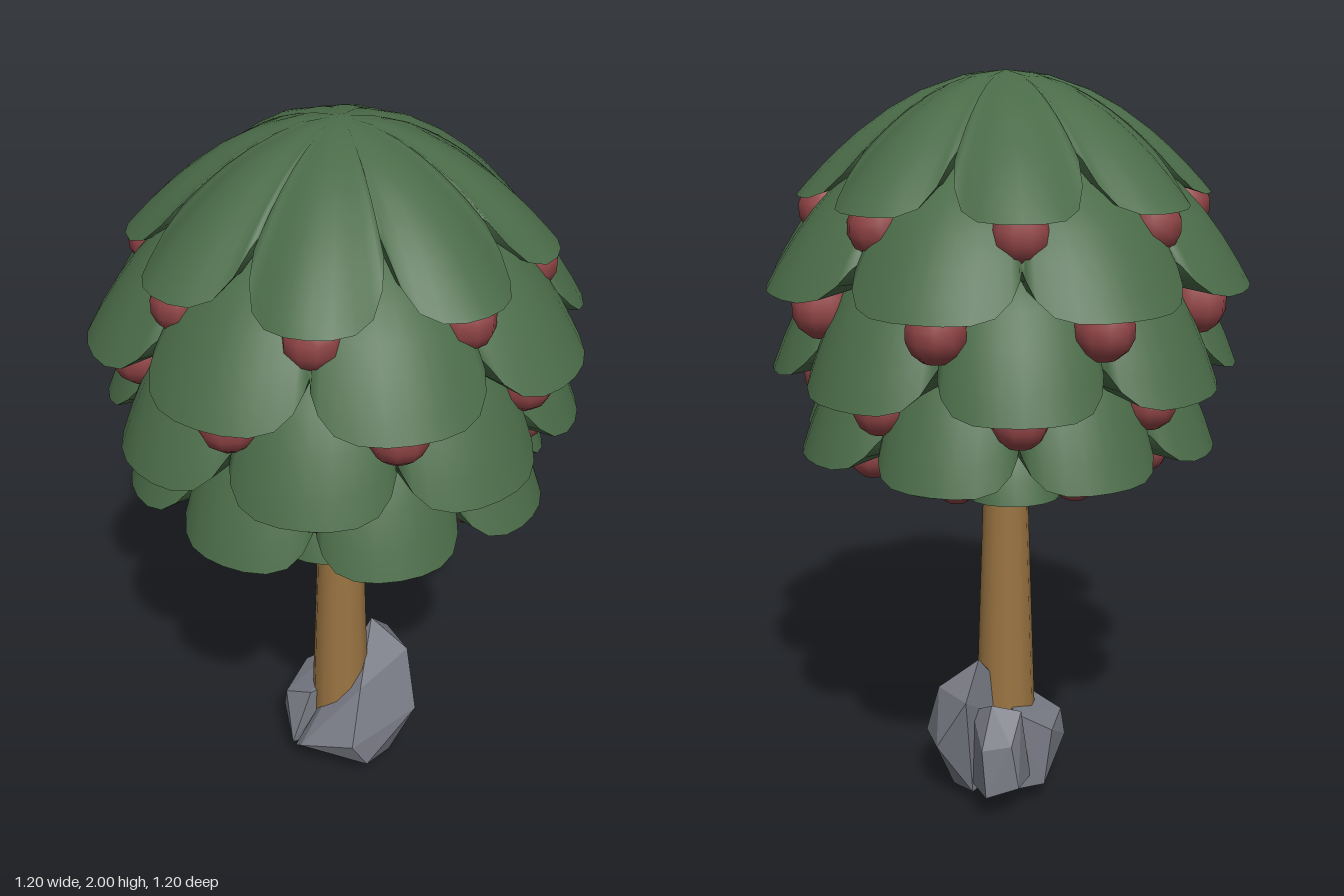
import * as THREE from 'three';
import { ConvexGeometry } from 'three/addons/geometries/ConvexGeometry.js';

const PETALS = 8;
const STEP = (Math.PI * 2) / PETALS;
const material = (color, flatShading = false) =>
  new THREE.MeshStandardMaterial({ color, flatShading, roughness: 0.9 });

// Scalloped rim directions: angle plus distance from the petal's midline (0 = tip, 1 = notch)
const HALF = [0, 0.25, 0.5, 0.72, 0.88, 0.97, 1];
const RIM = [];
for (let p = 0; p < PETALS; p++) {
  for (let k = -HALF.length + 1; k < HALF.length - 1; k++) {
    const a = HALF[Math.abs(k)];
    RIM.push({ a, angle: (p + (Math.sign(k) * a) / 2) * STEP });
  }
}

// Closed surface of rings running along the rim directions; t is the share of the rim radius
function ringSurface(rows, radiusAt, heightAt, faceDown) {
  const position = [], index = [], n = RIM.length;
  rows.forEach((t) => RIM.forEach(({ a, angle }) => {
    const r = radiusAt(a) * t;
    position.push(Math.sin(angle) * r, heightAt(a, t), Math.cos(angle) * r);
  }));
  for (let i = 0; i < rows.length - 1; i++) {
    for (let j = 0; j < n; j++) {
      const k = (j + 1) % n;
      const a = i * n + j, b = a + n, c = (i + 1) * n + k, d = i * n + k;
      if (faceDown) index.push(a, c, b, a, d, c);
      else index.push(a, b, c, a, c, d);
    }
  }
  const geometry = new THREE.BufferGeometry();
  geometry.setAttribute('position', new THREE.Float32BufferAttribute(position, 3));
  geometry.setIndex(index);
  geometry.computeVertexNormals();
  return geometry;
}

// One leafy tier: domed top with rounded petals, and a shallow underside
function leafTier({ radius, base, height, power, notch, lift, under, turn }, leaf) {
  const tier = new THREE.Group();
  const radiusAt = (a) => radius * (notch + (1 - notch) * Math.sqrt(1 - a ** 2.2));
  const edge = (a) => lift * a ** 6;
  const topAt = (a, t) => base + edge(a) + (height - edge(a)) * (1 - t ** power);
  const underAt = (a, t) => base + (t === 1 ? edge(a) : under);

  const top = new THREE.Mesh(
    ringSurface([0.001, 0.2, 0.4, 0.55, 0.7, 0.8, 0.88, 0.95, 1], radiusAt, topAt, false), leaf);
  top.name = 'leafTop';
  const bottom = new THREE.Mesh(ringSurface([0.001, 0.6, 1], radiusAt, underAt, true), leaf);
  bottom.name = 'leafUnderside';
  tier.add(top, bottom);
  tier.rotation.y = turn * STEP;
  return tier;
}

export function createModel() {
  const model = new THREE.Group();
  const leaf = material(0x4a6b48);
  const red = material(0x8f4345);
  const bark = material(0x9a7442);
  const stone = material(0x7a7c86, true);

  // Foliage tiers from top to bottom, every other one turned by half a petal
  const tiers = [
    { radius: 0.52, base: 1.705, height: 0.295, power: 2, notch: 0.63, lift: 0.14, under: 0.07, turn: 0 },
    { radius: 0.62, base: 1.5, height: 0.37, power: 3, notch: 0.8, lift: 0.1, under: 0.04, turn: 0.5 },
    { radius: 0.6, base: 1.27, height: 0.4, power: 4, notch: 0.8, lift: 0.1, under: 0.04, turn: 0 },
    { radius: 0.55, base: 1.08, height: 0.4, power: 4, notch: 0.79, lift: 0.09, under: 0.03, turn: 0.5 },
    { radius: 0.37, base: 1.0, height: 0.2, power: 6, notch: 0.76, lift: 0, under: -0.035, turn: 0 },
  ];
  const foliage = new THREE.Group();
  foliage.name = 'foliage';
  tiers.forEach((spec, i) => {
    const tier = leafTier(spec, leaf);
    tier.name = `leafTier${i + 1}`;
    foliage.add(tier);
  });
  model.add(foliage);

  // Fruit tucked under each petal tip
  const fruits = new THREE.Group();
  fruits.name = 'fruits';
  const rows = [
    { r: 0.45, y: 1.67, size: 0.07, turn: 0 },
    { r: 0.495, y: 1.455, size: 0.074, turn: 0.5 },
    { r: 0.455, y: 1.245, size: 0.07, turn: 0 },
    { r: 0.375, y: 1.07, size: 0.063, turn: 0.5 },
  ];
  for (const { r, y, size, turn } of rows) {
    const geometry = new THREE.SphereGeometry(size, 10, 7);
    for (let i = 0; i < PETALS; i++) {
      const fruit = new THREE.Mesh(geometry, red);
      const angle = (i + turn) * STEP;
      fruit.position.set(Math.sin(angle) * r, y, Math.cos(angle) * r);
      fruit.rotation.y = angle;
      fruit.name = 'fruit';
      fruits.add(fruit);
    }
  }
  model.add(fruits);

  // Tapered trunk
  const trunk = new THREE.Mesh(new THREE.CylinderGeometry(0.056, 0.085, 0.86, 12), bark);
  trunk.position.y = 0.61;
  trunk.name = 'trunk';
  model.add(trunk);

  // Faceted rocks clustered around the foot
  const rocks = {
    largeRock: [
      [0.08, 0.45, -0.09], [0.19, 0.36, -0.07], [0.12, 0.36, -0.17], [0.225, 0.19, 0],
      [0.2, 0.2, -0.12], [0.15, 0.01, 0], [0.1, 0, 0], [0.02, 0.02, 0.03], [0.1, 0.04, -0.1],
      [0.07, 0.33, 0.09], [0.06, 0.19, 0.19], [-0.12, 0.1, 0.11], [-0.1, 0.13, 0.14], [0.1, 0.1, 0.16],
    ],
    leftRock: [
      [-0.17, 0.16, 0], [-0.16, 0.23, 0.02], [-0.08, 0.27, 0.06], [-0.13, 0.1, 0.1],
      [-0.1, 0.07, -0.12], [-0.12, 0.24, -0.12], [-0.02, 0.3, -0.13], [0, 0.03, -0.05],
      [0.05, 0.05, -0.13], [0, 0.28, 0],
    ],
    backRock: [
      [-0.02, 0.12, -0.22], [0.07, 0.1, -0.23], [0.08, 0.24, -0.22], [0, 0.25, -0.22],
      [-0.03, 0.33, -0.17], [0.05, 0.35, -0.17], [-0.06, 0.1, -0.12], [0.1, 0.07, -0.1], [0.1, 0.3, -0.1],
    ],
  };
  for (const [name, corners] of Object.entries(rocks)) {
    const points = corners.map((c) => new THREE.Vector3(...c));
    const rock = new THREE.Mesh(new ConvexGeometry(points), stone);
    rock.name = name;
    model.add(rock);
  }

  return model;
}
